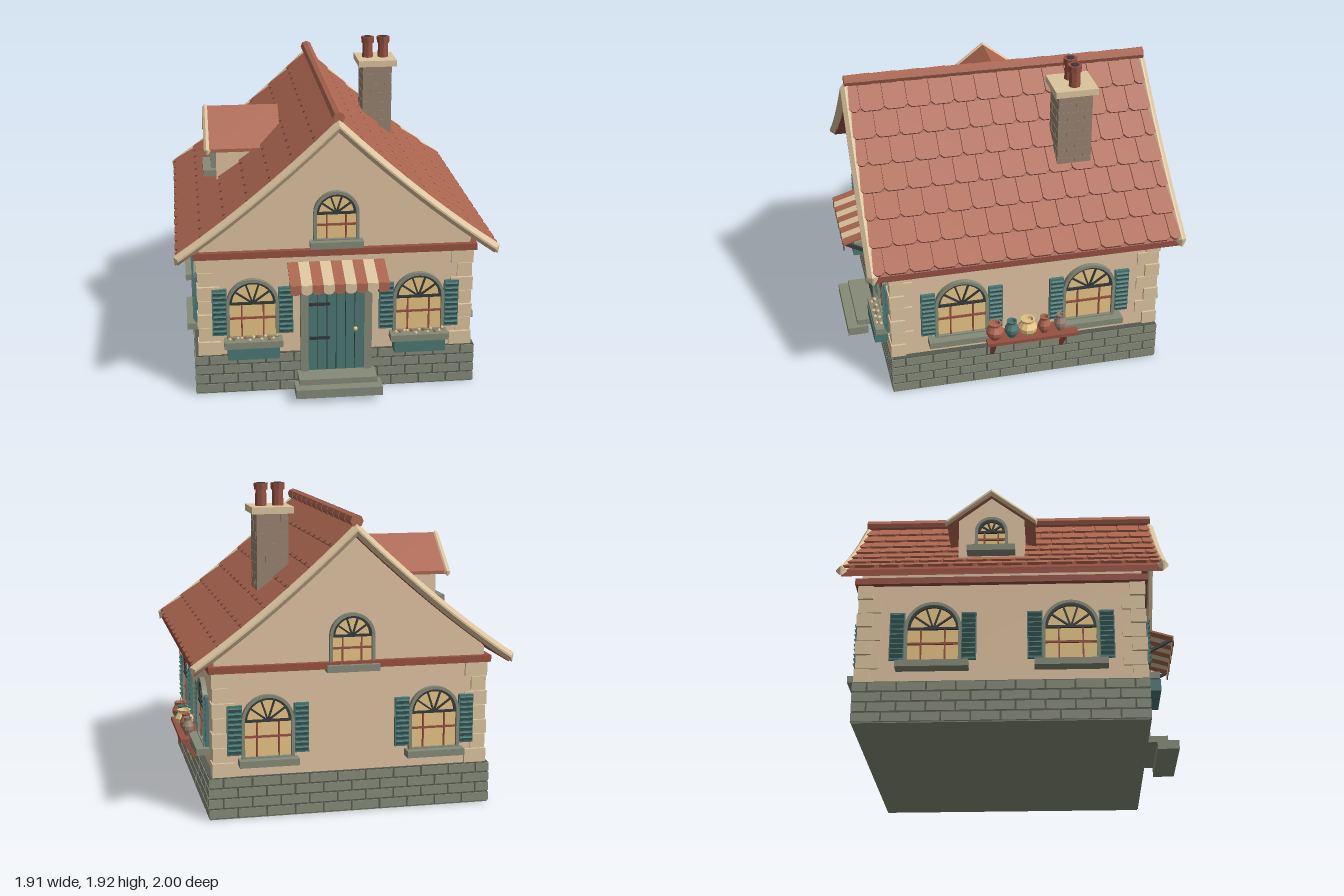
import * as THREE from 'three';
import { mergeGeometries } from 'three/addons/utils/BufferGeometryUtils.js';

const mat = (name, color) => Object.assign(new THREE.MeshStandardMaterial({ color }), { name });
const M = {
  wall: mat('plaster', 0xdec2a0), trim: mat('cream stone', 0xdcc49e), stone: mat('grey stone', 0x858a78),
  mortar: mat('dark mortar', 0x565a50), tile: mat('clay tile', 0xac6650), wood: mat('red wood', 0x965040),
  teal: mat('teal paint', 0x4b7874), iron: mat('dark iron', 0x33393b), glass: mat('warm glass', 0xe6c484),
  chimney: mat('chimney brick', 0x978270),
};
const FRONT = 0.78, BACK = -0.865, SIDE = 0.81, MID = (FRONT + BACK) / 2;

// ---- helpers
function add(parent, name, geo, material, x = 0, y = 0, z = 0) {
  const m = new THREE.Mesh(geo, material);
  m.name = name;
  m.position.set(x, y, z);
  parent.add(m);
  return m;
}
function group(parent, name, x = 0, y = 0, z = 0, ry = 0) {
  const g = new THREE.Group();
  g.name = name;
  g.position.set(x, y, z);
  g.rotation.y = ry;
  parent.add(g);
  return g;
}
const box = (w, h, d) => new THREE.BoxGeometry(w, h, d);
const boxAt = (w, h, d, x, y, z) => box(w, h, d).translate(x, y, z);
const poly = pts => new THREE.Shape(pts.map(p => new THREE.Vector2(p[0], p[1])));
const extrude = (shape, depth, z = 0) =>
  new THREE.ExtrudeGeometry(shape, { depth, bevelEnabled: false, curveSegments: 10 }).translate(0, 0, z);
// moulding with one chamfer on each side, centred on z
const moulding = (shape, half, bevel, z) => new THREE.ExtrudeGeometry(shape,
  { depth: 0.01, bevelThickness: half - 0.005, bevelSize: bevel, bevelSegments: 1 }).translate(0, 0, z - 0.005);
function flat(geo) {
  const g = geo.toNonIndexed();
  g.computeVertexNormals();
  return g;
}
function bar(parent, name, a, b, r, material) {
  const A = new THREE.Vector3(...a), d = new THREE.Vector3(...b).sub(A);
  const m = add(parent, name, box(r * 2, d.length(), r * 2), material);
  m.position.copy(A).addScaledVector(d, 0.5);
  m.quaternion.setFromUnitVectors(new THREE.Vector3(0, 1, 0), d.normalize());
}
function arch(hw, y0, spring, rise) {
  const s = new THREE.Shape();
  s.moveTo(-hw, y0);
  s.lineTo(hw, y0);
  s.lineTo(hw, spring);
  s.absellipse(0, spring, hw, rise, 0, Math.PI, false);
  s.closePath();
  return s;
}
// courses of bricks round a rectangular core
function masonry(parent, name, [cx, cz, w, d], y0, y1, rows, len, gap, brickMat, coreMat) {
  const h = (y1 - y0) / rows, t = 0.03, bricks = [];
  add(parent, name + 'Core', box(w - gap, y1 - y0, d - gap), coreMat, cx, (y0 + y1) / 2, cz);
  for (let r = 0; r < rows; r++) {
    const y = y0 + h * (r + 0.5);
    for (const [span, half, alongX] of [[w, d / 2, true], [d, w / 2, false]]) {
      const n = Math.max(1, Math.round(span / len)), step = span / n;
      for (let i = 0; i <= n; i++) {
        const a = Math.max(0, (i - (r % 2) * 0.5) * step), b = Math.min(span, (i + 1 - (r % 2) * 0.5) * step);
        if (b - a < 0.02) continue;
        const l = a === 0 || b === span ? b - a - gap / 2 : b - a - gap;
        const c = (a + b) / 2 - span / 2 + (a === 0 ? -gap / 4 : b === span ? gap / 4 : 0);
        for (const s of [-1, 1]) {
          const o = s * (half - t / 2);
          bricks.push(alongX ? boxAt(l, h - gap, t, cx + c, y, cz + o) : boxAt(t, h - gap, l, cx + o, y, cz + c));
        }
      }
    }
  }
  add(parent, name + 'Bricks', mergeGeometries(bricks), brickMat);
}

// ---- arched window facing +z, standing on its sill
function addWindow(parent, x, y, { r, h, sill, sillDepth = 0.085, shutters = false }) {
  const w = group(parent, 'window', x, y);
  const frame = arch(r, 0, h, r);
  frame.holes.push(arch(r - 0.018, 0.012, h, r - 0.018));
  add(w, 'windowFrame', extrude(frame, 0.03), M.stone);
  add(w, 'windowGlass', extrude(arch(r - 0.015, 0.01, h, r - 0.015), 0.008), M.glass);
  const R = r - 0.018, band = new THREE.Shape();
  band.absarc(0, 0, R, 0, Math.PI, false);
  band.absarc(0, 0, R - 0.014, Math.PI, 0, true);
  const fan = [extrude(band, 0.02).translate(0, h, 0).toNonIndexed(), boxAt(R * 2, 0.014, 0.022, 0, h, 0.011).toNonIndexed()];
  for (let i = 1; i < 5; i++)
    fan.push(boxAt(R, 0.01, 0.018, R / 2, 0, 0.01).rotateZ(i * Math.PI / 5).translate(0, h, 0).toNonIndexed());
  add(w, 'fanlight', mergeGeometries(fan), M.iron);
  for (const s of [-1, 1]) add(w, 'muntin', box(0.009, h, 0.018), M.wood, s * r * 0.42, h / 2, 0.01);
  add(w, 'crossBar', box(R * 2, 0.012, 0.018), M.wood, 0, h * 0.58, 0.01);
  add(w, 'windowSill', box(sill * 2, 0.04, sillDepth), M.stone, 0, -0.016, sillDepth / 2 - 0.005);
  if (shutters) for (const s of [-1, 1]) {
    const g = group(w, 'shutter', s * (r + 0.042), 0.175, 0.018);
    const parts = [box(0.088, 0.295, 0.02)];
    for (let i = 0; i < 9; i++) parts.push(box(0.076, 0.022, 0.012).rotateX(0.5).translate(0, -0.125 + i * 0.031, 0.014));
    add(g, 'louvres', mergeGeometries(parts), M.teal);
  }
  return w;
}

// ---- main roof: one slope curve, mirrored
const slope = new THREE.QuadraticBezierCurve(
  new THREE.Vector2(0, 1.69), new THREE.Vector2(0.48, 1.23), new THREE.Vector2(0.932, 0.92));
function roofLine(o) {
  const p = slope.getPoints(10).map(q => [q.x, q.y + o]);
  return [...p.slice().reverse(), ...p.slice(1).map(([x, y]) => [-x, y])];
}
const roofBand = (top, bottom) => poly([...roofLine(top), ...roofLine(bottom).reverse()]);

function addRoof(root) {
  const g = group(root, 'roof'), z0 = -0.97, z1 = 0.9, cols = 13, w = (z1 - z0) / cols;
  add(g, 'roofDeck', extrude(roofBand(0, -0.04), z1 - z0, z0), M.wood);
  add(g, 'frontBargeboard', moulding(roofBand(0.003, -0.01), 0.03, 0.024, z1), M.trim);
  add(g, 'backBargeboard', moulding(roofBand(0.003, -0.01), 0.03, 0.024, z0), M.trim);
  const rows = 7, pts = slope.getSpacedPoints(rows), tiles = [];
  for (const s of [-1, 1]) for (let r = 1; r <= rows; r++) {
    const lo = new THREE.Vector3(s * pts[r].x, pts[r].y, 0), hi = new THREE.Vector3(s * pts[r - 1].x, pts[r - 1].y, 0);
    const up = hi.clone().sub(lo).normalize(), n = new THREE.Vector3(s * up.y, Math.abs(up.x), 0);
    lo.addScaledVector(n, 0.012);
    const L = hi.distanceTo(lo);
    up.copy(hi).sub(lo).normalize();
    n.set(s * up.y, Math.abs(up.x), 0);
    const basis = new THREE.Matrix4().makeBasis(up.clone().cross(n), up, n);
    for (let i = 0; i <= cols; i++) {
      const a = Math.max(z0, z0 + (i - (r % 2) / 2) * w), b = Math.min(z1, z0 + (i + 1 - (r % 2) / 2) * w);
      if (b - a < 0.02) continue;
      const hw = (b - a) / 2 - 0.002, c = 0.022;
      const shape = poly([[c - hw, 0], [hw - c, 0], [hw, c], [hw, L], [-hw, L], [-hw, c]]);
      tiles.push(extrude(shape, 0.016).applyMatrix4(basis).translate(lo.x, lo.y, (a + b) / 2));
    }
  }
  add(g, 'roofTiles', mergeGeometries(tiles), M.tile);
  const caps = [];
  for (let i = 0; i < 12; i++) caps.push(flat(new THREE.CylinderGeometry(0.034, 0.038, 0.16, 8))
    .rotateX(Math.PI / 2).translate(0, 1.735, -0.9 + i * 0.157));
  add(g, 'ridgeTiles', mergeGeometries(caps), M.tile);
}

function addChimney(root) {
  const g = group(root, 'chimney'), x = 0.4, z = -0.41;
  masonry(g, 'chimneyStack', [x, z, 0.19, 0.21], 1.26, 1.75, 8, 0.1, 0.005, M.chimney, M.chimney);
  add(g, 'chimneyCap', box(0.25, 0.04, 0.26), M.trim, x, 1.76, z);
  for (const s of [-1, 1]) {
    add(g, 'chimneyPot', flat(new THREE.CylinderGeometry(0.032, 0.036, 0.12, 8)), M.wood, x + s * 0.051, 1.83, z);
    add(g, 'chimneyPotRim', flat(new THREE.CylinderGeometry(0.043, 0.041, 0.04, 8)), M.wood, x + s * 0.051, 1.895, z);
    add(g, 'flueHole', new THREE.CylinderGeometry(0.026, 0.026, 0.004, 8), M.iron, x + s * 0.051, 1.916, z);
  }
}

function addDormer(root) {
  const g = group(root, 'dormer', 0, 0, -0.11, -Math.PI / 2);
  add(g, 'dormerWall', extrude(poly([[-0.2, 1.06], [0.2, 1.06], [0.2, 1.38], [0, 1.535], [-0.2, 1.38]]), 0.375, 0.3), M.wall);
  const roof = (t, b) => poly([[0.268, 1.345 + t], [0, 1.555 + t], [-0.268, 1.345 + t], [-0.268, 1.345 - b], [0, 1.555 - b], [0.268, 1.345 - b]]);
  add(g, 'dormerRoof', extrude(roof(0.003, 0.018), 0.45, 0.27), M.tile);
  add(g, 'dormerBargeboard', moulding(roof(-0.005, 0.012), 0.02, 0.014, 0.73), M.trim);
  const face = group(g, 'dormerFace', 0, 0, 0.675);
  addWindow(face, 0, 1.17, { r: 0.1, h: 0.12, sill: 0.145 });
}

function addDoor(root) {
  const g = group(root, 'door', 0, 0, FRONT);
  const frame = arch(0.215, 0.125, 0.61, 0.15);
  frame.holes.push(arch(0.168, 0.125, 0.66, 0.08));
  add(g, 'doorFrame', extrude(frame, 0.04), M.stone);
  add(g, 'doorLeaf', extrude(arch(0.17, 0.125, 0.66, 0.08), 0.025), M.teal);
  for (let i = -2; i <= 2; i++) add(g, 'plankGroove', box(0.004, 0.56, 0.004), M.iron, i * 0.056, 0.41, 0.026);
  for (const y of [0.34, 0.56]) add(g, 'strapHinge', box(0.125, 0.018, 0.012), M.iron, -0.1, y, 0.028);
  add(g, 'doorKnob', new THREE.SphereGeometry(0.014, 10, 8), M.glass, 0.115, 0.395, 0.04);
  add(g, 'upperStep', box(0.47, 0.04, 0.17), M.stone, 0, 0.107, 0.07);
  add(g, 'lowerStep', box(0.52, 0.055, 0.13), M.stone, 0, 0.063, 0.154);
  // striped awning with scalloped valance
  const awning = group(g, 'awning'), n = 9, w = 0.58 / n;
  for (let i = 0; i < n; i++) {
    const m = i % 2 ? M.trim : M.tile, x = -0.29 + (i + 0.5) * w;
    add(awning, 'awningStripe', extrude(poly([[0, 0.825], [0, 0.813], [0.214, 0.748], [0.214, 0.76]]), w, -w / 2)
      .rotateY(-Math.PI / 2), m, x);
    const s = new THREE.Shape();
    s.moveTo(w / 2, 0.758);
    s.lineTo(-w / 2, 0.758);
    s.lineTo(-w / 2, 0.725);
    s.absellipse(0, 0.725, w / 2, 0.025, Math.PI, Math.PI * 2, false);
    add(awning, 'valance', extrude(s, 0.006, 0.21), m, x);
  }
  for (const s of [-1, 1]) {
    bar(awning, 'awningArm', [s * 0.265, 0.64, 0.01], [s * 0.265, 0.745, 0.2], 0.01, M.iron);
    add(awning, 'armPlate', box(0.025, 0.09, 0.015), M.iron, s * 0.265, 0.665, 0.006);
  }
}

// ---- shelf of jars on the +x wall
function addShelf(root) {
  const g = group(root, 'jarShelf');
  add(g, 'shelfBoard', box(0.14, 0.022, 0.57), M.wood, 0.88, 0.335, -0.06);
  for (const z of [0.18, -0.26]) {
    bar(g, 'shelfBrace', [0.85, 0.205, z], [0.93, 0.33, z], 0.012, M.wood);
    add(g, 'shelfUpright', box(0.02, 0.13, 0.026), M.wood, 0.84, 0.265, z);
  }
  const jars = [[0.17, 0.055, M.tile], [0.065, 0.044, M.teal], [-0.035, 0.06, M.glass], [-0.14, 0.04, M.tile], [-0.24, 0.036, M.chimney]];
  for (const [z, r, m] of jars) {
    const profile = [[0, 0], [0.55, 0], [0.95, 0.035], [1, 0.06], [0.65, 0.09], [0.62, 0.098], [0.75, 0.112], [0.55, 0.112], [0.45, 0.09], [0, 0.09]];
    add(g, 'jar', flat(new THREE.LatheGeometry(profile.map(p => new THREE.Vector2(p[0] * r, p[1])), 10)), m, 0.893, 0.346, z);
  }
}

export function createModel() {
  const root = new THREE.Group();
  root.name = 'cottage';

  // body
  masonry(root, 'plinth', [0, MID, 1.7, 1.685], 0.004, 0.25, 4, 0.17, 0.01, M.stone, M.mortar);
  add(root, 'plinthBase', box(1.69, 0.004, 1.675), M.stone, 0, 0.002, MID);
  const gableTop = roofLine(-0.03).filter(p => Math.abs(p[0]) < SIDE);
  add(root, 'walls', extrude(poly([[-SIDE, 0.2], [SIDE, 0.2], [SIDE, 0.96], ...gableTop, [-SIDE, 0.96]]), FRONT - BACK, BACK), M.wall);
  for (const z of [FRONT + 0.015, BACK - 0.015]) add(root, 'gableBeam', box(1.69, 0.04, 0.04), M.wood, 0, 0.89, z);
  for (const s of [-1, 1]) add(root, 'eaveBeam', box(0.04, 0.04, FRONT - BACK + 0.07), M.wood, s * 0.825, 0.89, MID);

  // corner quoins
  const quoins = [];
  for (const sx of [-1, 1]) for (const [sz, z] of [[1, FRONT], [-1, BACK]]) for (let i = 0; i < 7; i++) {
    const a = i % 2 ? 0.09 : 0.135, b = i % 2 ? 0.135 : 0.09, p = i % 2 ? 0.012 : 0.018;
    quoins.push(boxAt(a, 0.083, b, sx * (SIDE + p - a / 2), 0.295 + i * 0.0885, z + sz * (p - b / 2)));
  }
  add(root, 'quoins', mergeGeometries(quoins), M.trim);

  // windows on each wall
  const main = { r: 0.155, h: 0.225, sill: 0.175, shutters: true };
  const front = group(root, 'frontWindows', 0, 0, FRONT);
  const back = group(root, 'backWindows', 0, 0, BACK, Math.PI);
  for (const s of [-1, 1]) {
    const w = addWindow(front, s * 0.5, 0.355, { ...main, sillDepth: 0.095 });
    add(w, 'flowerBox', box(0.31, 0.07, 0.09), M.teal, 0, -0.07, 0.05);
    for (let i = 0; i < 13; i++)
      add(w, 'flower', flat(new THREE.IcosahedronGeometry(0.011, 0)), [M.glass, M.tile, M.trim][i % 3],
        -0.14 + i * 0.0235, 0.012 + (i * 7 % 5) * 0.004, 0.05 + (i % 3) * 0.012);
    addWindow(back, s * 0.5, 0.355, main);
    const side = group(root, 'sideWindows', s * SIDE, 0, 0, s * Math.PI / 2);
    for (const z of [0.36, -0.435]) addWindow(side, -s * z, 0.36, { ...main, r: 0.165, sill: 0.21 });
  }
  const attic = { r: 0.135, h: 0.17, sill: 0.158, sillDepth: 0.07 };
  addWindow(front, 0, 0.96, attic);
  addWindow(back, 0, 0.89, attic);

  addRoof(root);
  addChimney(root);
  addDormer(root);
  addDoor(root);
  addShelf(root);
  return root;
}
